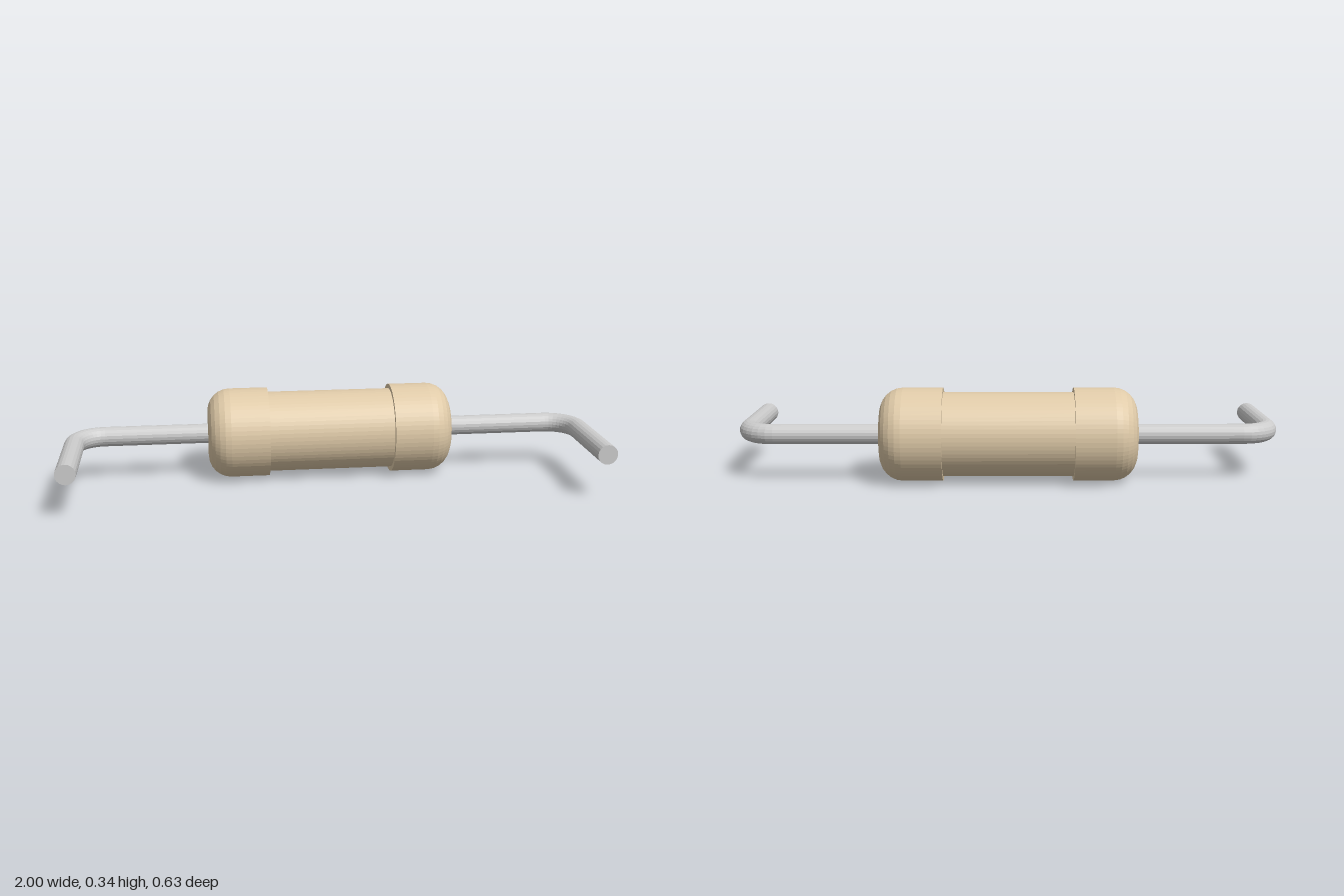
import * as THREE from 'three';

const AXIS_Y = 0.17, AXIS_Z = -0.144;   // centre line of the body
const BODY_R = 0.17, WAIST_R = 0.153;   // end caps and middle section
const HALF = 0.467, STEP = 0.237, FILLET = 0.085;
const WIRE_R = 0.037, WIRE_X = 0.963, BEND = 0.108, TIP_Z = 0.314;

const ceramic = new THREE.MeshStandardMaterial({ color: 0xdfcaa8, flatShading: true });
const metal = new THREE.MeshStandardMaterial({ color: 0xcccccc, flatShading: true });

function add(parent, name, geometry, material) {
  const mesh = new THREE.Mesh(geometry, material);
  mesh.name = name;
  parent.add(mesh);
  return mesh;
}

// Turned body: rounded end caps with a slightly narrower middle
function bodyGeometry() {
  const right = [[WAIST_R, STEP], [BODY_R, STEP]];
  const steps = 6;
  for (let i = 0; i <= steps; i++) {
    const a = (i / steps) * Math.PI / 2;
    right.push([BODY_R - FILLET + FILLET * Math.cos(a), HALF - FILLET + FILLET * Math.sin(a)]);
  }
  right.push([0, HALF]);
  const left = right.map(([r, x]) => [r, -x]).reverse();
  const profile = [...left, ...right].map(([r, x]) => new THREE.Vector2(r, x));
  return new THREE.LatheGeometry(profile, 64).rotateZ(-Math.PI / 2);
}

// One bent lead, relative to the body's centre line, pointing to +x then +z
function makeLead(name) {
  const lead = new THREE.Group();
  lead.name = name;
  const sides = 20;

  // Straight run out of the body
  const runStart = HALF - 0.03, runEnd = WIRE_X - BEND;
  const run = new THREE.CylinderGeometry(WIRE_R, WIRE_R, runEnd - runStart, sides, 1, true);
  run.rotateZ(-Math.PI / 2).translate((runStart + runEnd) / 2, 0, 0);
  add(lead, 'leadRun', run, metal);

  // Quarter bend
  const bend = new THREE.TorusGeometry(BEND, WIRE_R, sides, 8, Math.PI / 2);
  bend.rotateX(-Math.PI / 2).translate(runEnd, 0, BEND);
  add(lead, 'leadBend', bend, metal);

  // Leg with a flat cut tip
  const legLength = TIP_Z - AXIS_Z - BEND;
  const leg = new THREE.CylinderGeometry(WIRE_R, WIRE_R, legLength, sides);
  leg.rotateX(Math.PI / 2).translate(WIRE_X, 0, BEND + legLength / 2);
  add(lead, 'leadLeg', leg, metal);
  return lead;
}

export function createModel() {
  const model = new THREE.Group();
  model.name = 'resistor';
  const parts = new THREE.Group();
  parts.name = 'resistorParts';
  parts.position.set(0, AXIS_Y, AXIS_Z);
  model.add(parts);

  add(parts, 'body', bodyGeometry(), ceramic);

  // The lead is symmetric about its own plane, so a half turn mirrors it
  const rightLead = makeLead('rightLead');
  rightLead.rotation.z = Math.PI;
  parts.add(makeLead('leftLead'), rightLead);
  return model;
}
